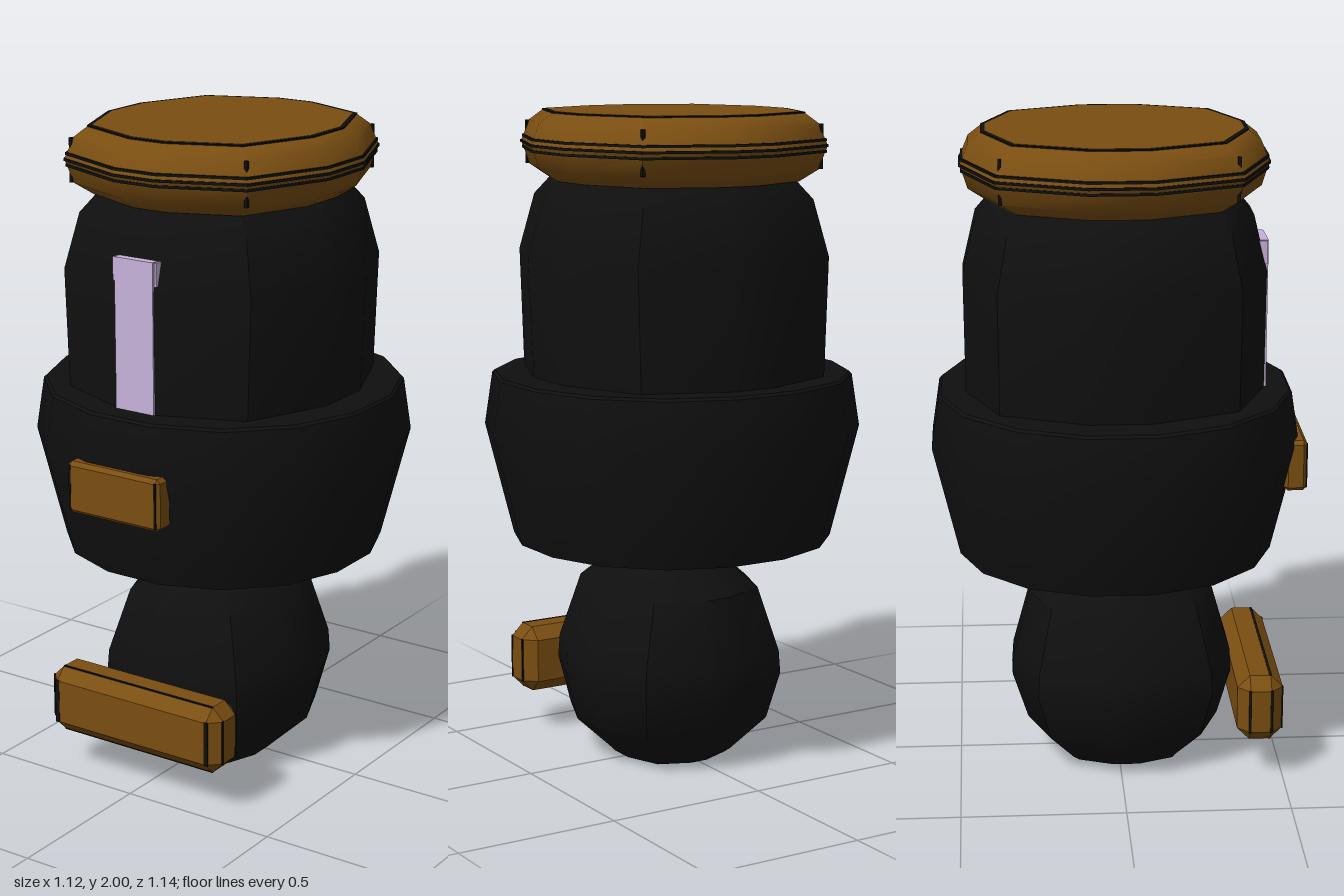
import * as THREE from 'three';
import { toCreasedNormals } from 'three/addons/utils/BufferGeometryUtils.js';
import { ConvexGeometry } from 'three/addons/geometries/ConvexGeometry.js';

const mat = (name, color) => {
  const m = new THREE.MeshStandardMaterial({ color });
  m.name = name;
  return m;
};

// Quarter outlines (unit size), swept from +x to +z and mirrored to a full loop
const TWELVE = [[1, 0.21], [0.75, 0.78], [0.165, 1]];
const SIXTEEN = [[1, 0.2], [0.857, 0.572], [0.572, 0.857], [0.2, 1]];

function fullLoop(q) {
  const r = [...q].reverse();
  return [...q, ...r.map(([x, z]) => [-x, z]), ...q.map(([x, z]) => [-x, -z]), ...r.map(([x, z]) => [x, -z])];
}

// Capped solid from stacked rings [y, halfWidth, halfDepth, zCentre]
function loft(outline, rings, crease = 0.6) {
  const loop = fullLoop(outline), n = loop.length, pos = [], idx = [];
  for (const [y, rx, rz, cz = -0.01] of rings) {
    for (const [x, z] of loop) pos.push(x * rx, y, z * rz + cz);
  }
  const top = (rings.length - 1) * n;
  for (let k = 0; k < rings.length - 1; k++) {
    for (let i = 0; i < n; i++) {
      const a = k * n + i, b = k * n + (i + 1) % n;
      idx.push(a, a + n, b, b, a + n, b + n);
    }
  }
  for (let i = 1; i < n - 1; i++) idx.push(0, i, i + 1, top, top + i + 1, top + i);
  const g = new THREE.BufferGeometry();
  g.setAttribute('position', new THREE.Float32BufferAttribute(pos, 3));
  g.setIndex(idx);
  g.computeVertexNormals();
  return toCreasedNormals(g, crease);
}

// Box with all edges cut back by c
function chamferBox(w, h, d, c) {
  const pts = [];
  for (const sx of [-1, 1]) for (const sy of [-1, 1]) for (const sz of [-1, 1]) {
    const x = w / 2, y = h / 2, z = d / 2;
    pts.push(new THREE.Vector3(sx * x, sy * (y - c), sz * (z - c)));
    pts.push(new THREE.Vector3(sx * (x - c), sy * y, sz * (z - c)));
    pts.push(new THREE.Vector3(sx * (x - c), sy * (y - c), sz * z));
  }
  return new ConvexGeometry(pts);
}

export function createModel() {
  const model = new THREE.Group();
  const black = mat('black', 0x0f0f0f);
  const gold = mat('dark gold', 0x7a4e11);
  const lilac = mat('lilac', 0xc6b2da);

  const add = (name, geometry, material, x = 0, y = 0, z = 0) => {
    const m = new THREE.Mesh(geometry, material);
    m.name = name;
    m.position.set(x, y, z);
    model.add(m);
    return m;
  };
  const box = (name, material, w, h, d, x, y, z) =>
    add(name, new THREE.BoxGeometry(w, h, d), material, x, y, z);

  // Faceted ball at the base
  add('baseBall', loft(TWELVE, [
    [0, 0.165, 0.19, 0.02], [0.015, 0.18, 0.205, 0.015], [0.12, 0.29, 0.3, 0.015],
    [0.27, 0.325, 0.345, 0.012], [0.34, 0.32, 0.34, 0.012], [0.54, 0.25, 0.285, 0.01],
    [0.64, 0.14, 0.165, 0.012]]), black);

  // Wide lower body with the small collar beneath
  add('collar', loft(TWELVE, [[0.67, 0.2, 0.225], [0.69, 0.23, 0.26], [0.71, 0.23, 0.26]]), black);
  add('lowerBody', loft(SIXTEEN, [
    [0.695, 0.475, 0.478], [1.04, 0.56, 0.558], [1.2, 0.536, 0.534], [1.208, 0.528, 0.526]]), black);

  // Upper body
  add('upperBody', loft(TWELVE, [
    [1.18, 0.428, 0.452], [1.57, 0.444, 0.455], [1.74, 0.395, 0.415], [1.8, 0.34, 0.365]]), black);

  // Lid with dark seams
  add('lid', loft(TWELVE, [
    [1.793, 0.35, 0.38], [1.83, 0.405, 0.435], [1.885, 0.424, 0.452], [1.9, 0.43, 0.459],
    [1.915, 0.424, 0.452], [1.965, 0.405, 0.432], [1.997, 0.363, 0.392]], 0.75), gold);
  add('lidTopSeam', loft(TWELVE, [[1.99, 0.366, 0.395], [1.9985, 0.366, 0.395]]), black);
  add('lidTopPlate', loft(TWELVE, [[1.99, 0.354, 0.383], [2, 0.354, 0.383]]), gold);
  for (const [y, r] of [[1.883, 0.427], [1.9, 0.432], [1.917, 0.427]]) {
    add('lidSideSeam', loft(TWELVE, [[y - 0.004, r, r + 0.029], [y + 0.004, r, r + 0.029]]), black);
  }
  for (const sx of [-1, 1]) for (const sz of [-1, 1]) {
    for (const y of [1.85, 1.945]) {
      box('lidCornerSeam', black, 0.01, 0.038, 0.01, sx * 0.308, y, sz * 0.342 - 0.01);
    }
  }

  // Lilac stripe on the upper body
  box('frontStripe', lilac, 0.135, 0.46, 0.05, -0.002, 1.433, 0.424);
  for (const s of [-1, 1]) box('stripeSideTrim', lilac, 0.008, 0.07, 0.045, s * 0.073, 1.627, 0.424);

  // Gold plate on the lower body
  add('frontPlate', chamferBox(0.33, 0.16, 0.07, 0.012), gold, 0, 0.98, 0.535);
  for (const s of [-1, 1]) box('plateSeam', black, 0.007, 0.14, 0.004, s * 0.153, 0.98, 0.569);

  // Gold bar in front of the base ball
  add('frontBar', chamferBox(0.63, 0.212, 0.14, 0.038), gold, 0, 0.236, 0.425);
  for (const s of [-1, 1]) {
    box('barFrontSeam', black, 0.014, 0.14, 0.004, s * 0.277, 0.236, 0.494);
    for (const z of [0.392, 0.458]) {
      box('barEndSeam', black, 0.004, 0.14, 0.008, s * 0.314, 0.236, z);
    }
    box('barEdgeSeam', black, 0.555, 0.004, 0.007, 0, 0.236 + s * 0.105, 0.456);
  }
  return model;
}
